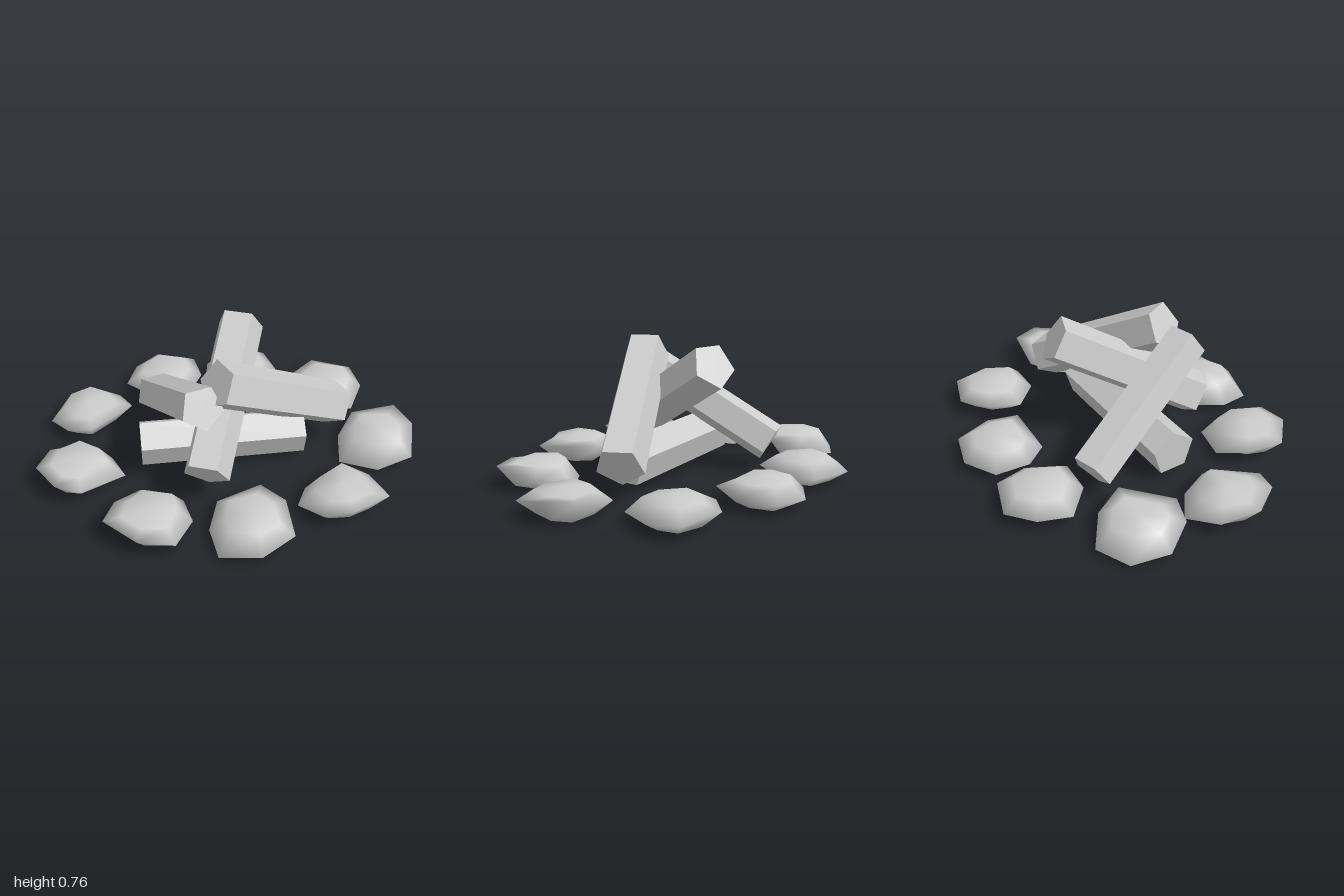
import * as THREE from 'three';
import { mergeVertices } from 'three/addons/utils/BufferGeometryUtils.js';

// Five-sided log between two end centres; flip = 1 puts a ridge on top, -1 a flat face
function makeLog(name, from, to, radius, flip, material) {
  const a = new THREE.Vector3(...from), b = new THREE.Vector3(...to);
  const dir = b.clone().sub(a);
  const length = dir.length();
  dir.normalize();
  const up = new THREE.Vector3(0, 1, 0).addScaledVector(dir, -dir.y).normalize().multiplyScalar(flip);
  const side = new THREE.Vector3().crossVectors(dir, up);
  const mesh = new THREE.Mesh(new THREE.CylinderGeometry(radius, radius, length, 5), material);
  mesh.applyMatrix4(new THREE.Matrix4().makeBasis(side, dir, up).setPosition(a.add(b).multiplyScalar(0.5)));
  mesh.name = name;
  return mesh;
}

// Pebble outlines (x, z) and their shared cross-section rings (scale, height)
const POINTED = [[-0.23, -0.11], [-0.08, -0.21], [0.1, -0.225], [0.24, -0.03], [0.165, 0.13], [-0.04, 0.235], [-0.19, 0.11]];
const ROUND = [[-0.205, -0.09], [-0.04, -0.21], [0.155, -0.18], [0.22, 0.015], [0.18, 0.185], [-0.125, 0.21], [-0.215, 0.1]];
const SQUARE = [[-0.21, -0.12], [-0.07, -0.2], [0.2, -0.19], [0.22, 0], [0.12, 0.22], [-0.08, 0.17], [-0.21, 0.07]];
const RINGS = [[0, 0.005], [0.6, 0.015], [1, 0.08], [0.64, 0.139], [0, 0.157]];

// Flat rounded stone, turned by yaw, its rim sloping by (slopeX, slopeZ)
function stoneGeometry(outline, yaw, slopeX, slopeZ) {
  const n = outline.length, c = Math.cos(yaw), s = Math.sin(yaw);
  const positions = [], index = [];
  RINGS.forEach(([scale, height], k) => {
    outline.forEach(([px, pz], j) => {
      const x = (px * c - pz * s) * scale, z = (px * s + pz * c) * scale;
      positions.push(x, height + (scale === 1 ? slopeX * x + slopeZ * z : 0), z);
      if (k === RINGS.length - 1) return;
      const p = k * n + j, q = k * n + (j + 1) % n;
      if (RINGS[k][0] > 0) index.push(p, p + n, q);
      if (RINGS[k + 1][0] > 0) index.push(q, p + n, q + n);
    });
  });
  const geometry = new THREE.BufferGeometry();
  geometry.setAttribute('position', new THREE.Float32BufferAttribute(positions, 3));
  geometry.setIndex(index);
  const merged = mergeVertices(geometry, 1e-4);
  merged.computeVertexNormals();
  return merged;
}

export function createModel() {
  const model = new THREE.Group();
  model.name = 'campfire';
  const wood = new THREE.MeshStandardMaterial({ color: 0xcccccc, flatShading: true });
  const rock = new THREE.MeshStandardMaterial({ color: 0xcccccc });

  // Stacked logs: one on the ground, three leaning over it
  const logs = new THREE.Group();
  logs.name = 'logs';
  logs.add(
    makeLog('groundLog', [-0.46, 0.163, -0.246], [0.284, 0.163, 0.273], 0.13, 1, wood),
    makeLog('frontLeaningLog', [0.53, 0.22, 0.29], [-0.25, 0.675, 0.155], 0.131, -1, wood),
    makeLog('middleLeaningLog', [-0.412, 0.22, 0.245], [0.24, 0.675, -0.193], 0.13, -1, wood),
    makeLog('backLeaningLog', [-0.115, 0.16, -0.545], [-0.37, 0.6, 0.18], 0.118, -1, wood)
  );
  model.add(logs);

  // Ring of stones: outline, x, z, yaw in degrees, rim slope along x and z
  const ring = new THREE.Group();
  ring.name = 'stoneRing';
  [
    [ROUND, -0.455, -0.755, 0, 0, 0.25],
    [POINTED, 0.1, -0.7, 0, 0, 0],
    [ROUND, 0.48, -0.45, 42, 0, 0.1],
    [POINTED, 0.76, 0.03, 0, 0, -0.1],
    [POINTED, 0.61, 0.56, -12, 0.3, 0],
    [SQUARE, 0.12, 0.73, 0, 0, 0.28],
    [POINTED, -0.375, 0.565, -30, 0.22, 0],
    [POINTED, -0.735, 0.19, -1, -0.25, 0],
    [ROUND, -0.79, -0.39, 0, -0.28, 0]
  ].forEach(([outline, x, z, yaw, slopeX, slopeZ], i) => {
    const stone = new THREE.Mesh(stoneGeometry(outline, THREE.MathUtils.degToRad(yaw), slopeX, slopeZ), rock);
    stone.position.set(x, 0, z);
    stone.name = `stone${i + 1}`;
    ring.add(stone);
  });
  model.add(ring);
  return model;
}
